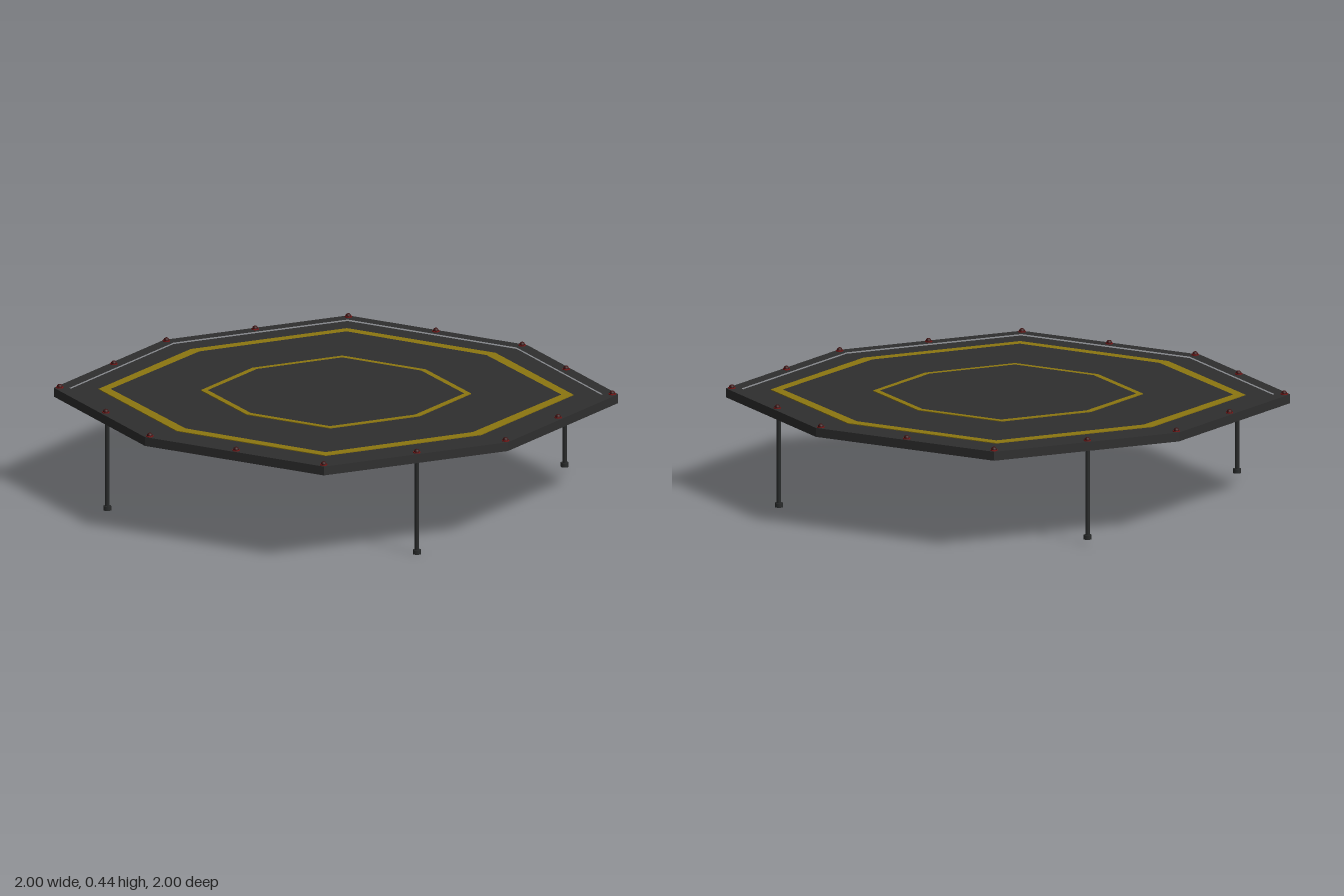
import * as THREE from 'three';

const deckMat = new THREE.MeshStandardMaterial({ name: 'deck charcoal', color: 0x2f2f2f });
const steelMat = new THREE.MeshStandardMaterial({ name: 'leg steel', color: 0x292b2b });
const paintMat = new THREE.MeshStandardMaterial({ name: 'marking yellow', color: 0x8c7610 });
const lampMat = new THREE.MeshStandardMaterial({ name: 'lamp red', color: 0x7a1818 });
const lensMat = new THREE.MeshStandardMaterial({ name: 'lens dark red', color: 0x3a1212 });

// Repeats plan points [x, z] by quarter turns about the centre
function quarterTurns(points) {
  const all = [];
  for (let turn = 0; turn < 4; turn++) {
    all.push(...points);
    points = points.map(([x, z]) => [-z, x]);
  }
  return all;
}

const toVectors = (pairs) => quarterTurns(pairs).map(([x, z]) => new THREE.Vector2(x, -z));

// Flat octagonal plate, optionally with an octagonal hole
function plate(name, material, outer, inner, bottom, top) {
  const shape = new THREE.Shape(toVectors(outer));
  if (inner) shape.holes.push(new THREE.Path(toVectors(inner)));
  const geometry = new THREE.ExtrudeGeometry(shape, { depth: top - bottom, bevelEnabled: false });
  geometry.rotateX(-Math.PI / 2);
  geometry.translate(0, bottom, 0);
  const mesh = new THREE.Mesh(geometry, material);
  mesh.name = name;
  return mesh;
}

// Upright cylinder between two heights
function post(name, material, radius, bottom, top, sides) {
  const geometry = new THREE.CylinderGeometry(radius, radius, top - bottom, sides);
  geometry.translate(0, (bottom + top) / 2, 0);
  const mesh = new THREE.Mesh(geometry, material);
  mesh.name = name;
  return mesh;
}

export function createModel() {
  const model = new THREE.Group();
  model.name = 'landingPlatform';

  // Deck with a slightly raised rim
  const outline = [[-0.28, -1], [0.55, -1]];
  const rimInner = outline.map(([x, z]) => [x * 0.945, z * 0.945]);
  model.add(plate('deck', deckMat, rimInner, null, 0.393, 0.42));
  model.add(plate('rim', deckMat, outline, rimInner, 0.389, 0.426));

  // Painted rings
  model.add(plate('outerRing', paintMat,
    [[-0.24, -0.838], [0.465, -0.84]], [[-0.225, -0.79], [0.442, -0.797]], 0.419, 0.423));
  model.add(plate('innerRing', paintMat,
    [[-0.142, -0.475], [0.265, -0.478]], [[-0.133, -0.45], [0.252, -0.453]], 0.419, 0.423));

  // Edge lamps at every corner and side midpoint
  const lampSpots = quarterTurns([[-0.28, -0.978], [0.12, -0.978], [0.54, -0.978], [0.76, -0.625]]);
  const lensGeometry = new THREE.SphereGeometry(0.012, 10, 5, 0, Math.PI * 2, 0, Math.PI / 2);
  for (const [x, z] of lampSpots) {
    const lamp = new THREE.Group();
    lamp.name = 'edgeLamp';
    const lens = new THREE.Mesh(lensGeometry, lensMat);
    lens.name = 'lens';
    lens.position.y = 0.43;
    lamp.add(post('lampBase', lampMat, 0.015, 0.424, 0.43, 12), lens);
    lamp.position.set(x, 0, z);
    model.add(lamp);
  }

  // Legs under the four long sides; the front one stands lower
  quarterTurns([[-0.117, 0.973]]).forEach(([x, z], i) => {
    const base = i === 0 ? 0 : 0.018;
    const leg = new THREE.Group();
    leg.name = 'leg';
    leg.add(post('legPost', steelMat, 0.0095, base + 0.01, 0.395, 8));
    leg.add(post('foot', steelMat, 0.017, base, base + 0.018, 8));
    leg.position.set(x, 0, z);
    model.add(leg);
  });

  return model;
}
